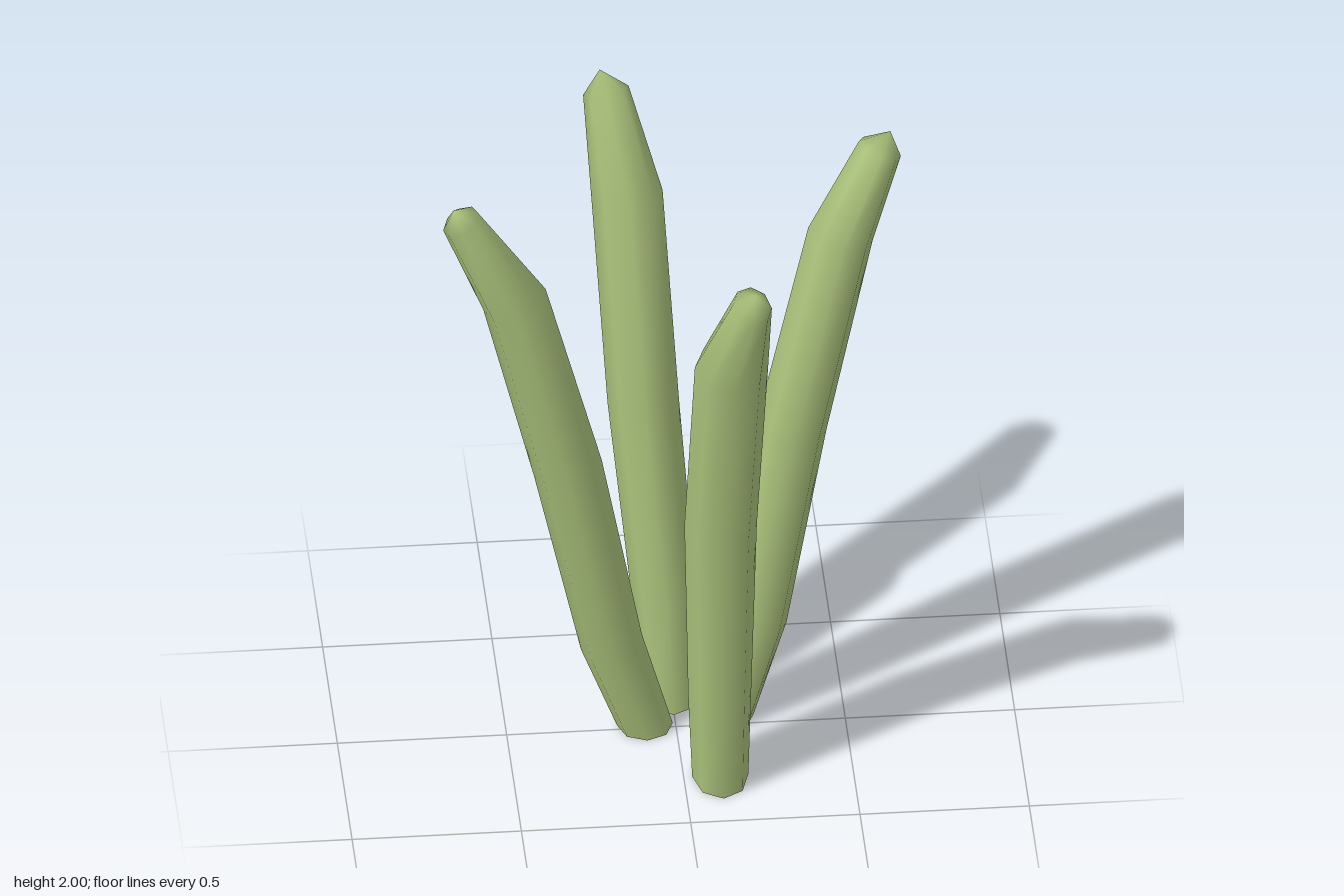
import * as THREE from 'three';

const SIDES = 8;

// Each stalk: rings as [x, y, z, radius in x, radius in z] from the ground up, then the tip point
const STALKS = {
  leftLeaningStalk: {
    rings: [
      [-0.09, 0, -0.02, 0.082, 0.085],
      [-0.19, 0.31, -0.005, 0.09, 0.095],
      [-0.32, 0.95, 0.01, 0.1, 0.11],
      [-0.48, 1.58, 0.035, 0.092, 0.108],
      [-0.64, 1.88, 0.055, 0.052, 0.062],
    ],
    tip: [-0.662, 1.925, 0.06],
  },
  backStalk: {
    rings: [
      [0, 0, -0.175, 0.085, 0.115],
      [-0.015, 0.31, -0.215, 0.095, 0.11],
      [-0.07, 0.96, -0.31, 0.105, 0.11],
      [-0.108, 1.62, -0.42, 0.105, 0.095],
      [-0.163, 1.935, -0.508, 0.067, 0.055],
    ],
    tip: [-0.18, 2, -0.523],
  },
  rightLeaningStalk: {
    rings: [
      [0.15, 0, -0.045, 0.083, 0.085],
      [0.243, 0.31, -0.095, 0.092, 0.1],
      [0.355, 0.95, -0.155, 0.103, 0.11],
      [0.505, 1.58, -0.22, 0.095, 0.108],
      [0.625, 1.845, -0.267, 0.062, 0.065],
    ],
    tip: [0.657, 1.9, -0.275],
  },
  frontStalk: {
    rings: [
      [0.108, 0, 0.262, 0.083, 0.122],
      [0.105, 0.3, 0.275, 0.093, 0.117],
      [0.105, 0.93, 0.31, 0.107, 0.11],
      [0.13, 1.54, 0.388, 0.108, 0.104],
      [0.182, 1.84, 0.508, 0.057, 0.063],
    ],
    tip: [0.19, 1.892, 0.53],
  },
};

// Loft of rings tilted square to the path, open below and closed to a point above
function stalkGeometry({ rings, tip }) {
  const points = [];
  const index = [];
  rings.forEach(([x, y, z, rx, rz], i) => {
    const below = rings[Math.max(i - 1, 0)];
    const above = rings[i + 1] || tip;
    const rise = above[1] - below[1];
    const slopeX = i ? (above[0] - below[0]) / rise : 0;
    const slopeZ = i ? (above[2] - below[2]) / rise : 0;
    for (let s = 0; s < SIDES; s++) {
      const a = (s / SIDES) * Math.PI * 2;
      const dx = Math.cos(a) * rx;
      const dz = Math.sin(a) * rz;
      points.push(x + dx, y - slopeX * dx - slopeZ * dz, z + dz);
    }
  });
  points.push(...tip);
  const tipIndex = rings.length * SIDES;
  for (let i = 0; i < rings.length; i++) {
    for (let s = 0; s < SIDES; s++) {
      const a = i * SIDES + s;
      const b = i * SIDES + ((s + 1) % SIDES);
      if (i === rings.length - 1) index.push(a, tipIndex, b);
      else index.push(a, a + SIDES, b, b, a + SIDES, b + SIDES);
    }
  }
  const geometry = new THREE.BufferGeometry();
  geometry.setAttribute('position', new THREE.Float32BufferAttribute(points, 3));
  geometry.setIndex(index);
  geometry.computeVertexNormals();
  return geometry;
}

export function createModel() {
  const group = new THREE.Group();
  group.name = 'stalkCluster';
  const green = new THREE.MeshStandardMaterial({ color: 0xa9c07a, side: THREE.DoubleSide });
  for (const [name, stalk] of Object.entries(STALKS)) {
    const mesh = new THREE.Mesh(stalkGeometry(stalk), green);
    mesh.name = name;
    group.add(mesh);
  }
  return group;
}
